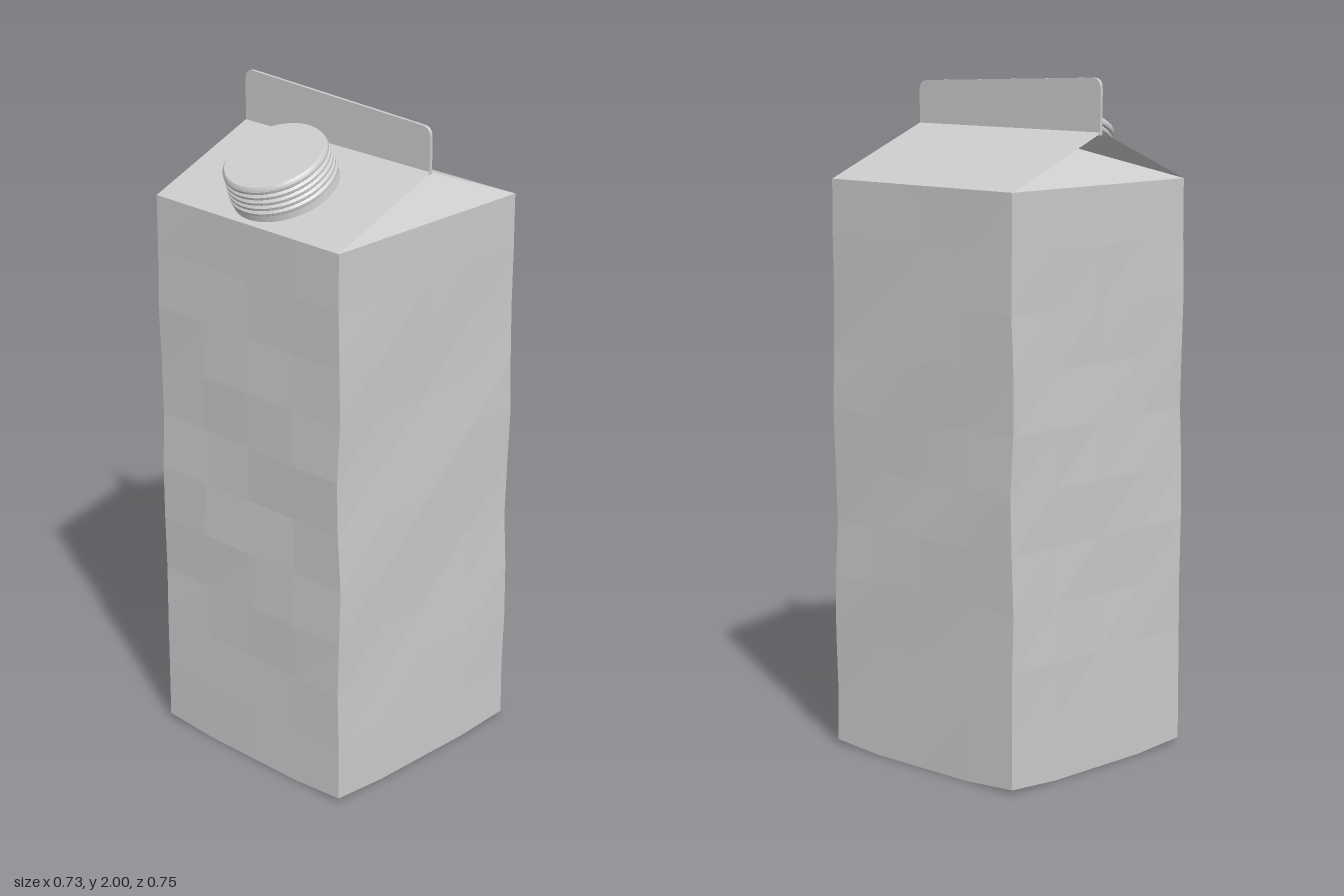
import * as THREE from 'three';

const W = 0.362;      // half width of the carton
const EAVE = 1.7;     // height of the walls
const RIDGE = 1.85;   // height of the gable

const card = new THREE.MeshStandardMaterial({ color: 0xcccccc, flatShading: true, side: THREE.DoubleSide });
card.name = 'plain grey';

function add(group, name, geometry) {
  const mesh = new THREE.Mesh(geometry, card);
  mesh.name = name;
  group.add(mesh);
  return mesh;
}

// flat panel fanned from its corner points
function panel(corners) {
  const points = [];
  for (let i = 1; i < corners.length - 1; i++) points.push(...corners[0], ...corners[i], ...corners[i + 1]);
  const g = new THREE.BufferGeometry();
  g.setAttribute('position', new THREE.Float32BufferAttribute(points, 3));
  g.computeVertexNormals();
  return g;
}

// box with slightly dented cardboard walls, straight at top and bottom
function bodyGeometry() {
  const g = new THREE.BoxGeometry(W * 2, EAVE - 0.01, W * 2, 4, 10, 4);
  g.translate(0, (EAVE + 0.01) / 2, 0);
  const p = g.attributes.position;
  for (let i = 0; i < p.count; i++) {
    const x = p.getX(i), y = p.getY(i), z = p.getZ(i);
    const fade = Math.sin(Math.PI * Math.min(1, y / EAVE));
    p.setX(i, x * (1 + 0.012 * fade * Math.sin(y * 9 + z * 6)));
    p.setZ(i, z * (1 + 0.012 * fade * Math.sin(y * 11 + x * 7 + 1)));
    if (y < 0.02) p.setY(i, Math.abs(x) + Math.abs(z) > 0.7 ? 0.012 : 0);
  }
  g.computeVertexNormals();
  return g;
}

// sealed strip with rounded top corners, a little lower on the left
function finGeometry() {
  const s = new THREE.Shape();
  const r = 0.03, left = 1.975, right = 2.0, bottom = RIDGE - 0.01;
  s.moveTo(-W, bottom);
  s.lineTo(W, bottom);
  s.lineTo(W, left - r);
  s.quadraticCurveTo(W, left, W - r, left);
  s.lineTo(-W + r, right);
  s.quadraticCurveTo(-W, right, -W, right - r);
  const g = new THREE.ExtrudeGeometry(s, { depth: 0.01, bevelEnabled: false, curveSegments: 5 });
  g.translate(0, 0, -0.005);
  return g;
}

// screw cap with stacked ridges round its side
function capGeometry() {
  const profile = [new THREE.Vector2(0.158, -0.03)];
  const rings = 5, top = 0.088;
  for (let i = 0; i < rings; i++) {
    const y = top * i / rings, r = 0.159 - 0.0015 * i;
    profile.push(new THREE.Vector2(r - 0.006, y), new THREE.Vector2(r, y + 0.005), new THREE.Vector2(r, y + 0.012));
  }
  profile.push(new THREE.Vector2(0.15, top), new THREE.Vector2(0.145, top + 0.006), new THREE.Vector2(0, top + 0.006));
  return new THREE.LatheGeometry(profile, 64);
}

export function createModel() {
  const carton = new THREE.Group();
  carton.name = 'carton';

  add(carton, 'body', bodyGeometry());

  // sloping roof panels
  for (const s of [1, -1]) {
    add(carton, s > 0 ? 'frontRoof' : 'backRoof', panel([
      [-W * s, EAVE, W * s], [W * s, EAVE, W * s], [W * s, RIDGE, 0], [-W * s, RIDGE, 0],
    ]));
  }

  // side gussets tucked in under the roof
  for (const s of [1, -1]) {
    const gusset = new THREE.Group();
    gusset.name = s > 0 ? 'leftGusset' : 'rightGusset';
    const front = [W * s, EAVE, W * s], back = [W * s, EAVE, -W * s];
    const apex = [0.03 * s, RIDGE - 0.012, 0], end = [W * s, RIDGE - 0.004, 0];
    add(gusset, 'tuckedTriangle', panel([front, back, apex]));
    add(gusset, 'foldUnderRoofA', panel([front, apex, end]));
    add(gusset, 'foldUnderRoofB', panel([back, end, apex]));
    carton.add(gusset);
  }

  add(carton, 'topFin', finGeometry());

  // cap standing square on the front roof
  const cap = add(carton, 'cap', capGeometry());
  cap.position.set(0, 1.786, 0.209);
  cap.rotation.x = Math.atan2(RIDGE - EAVE, W) + 0.02;

  return carton;
}
